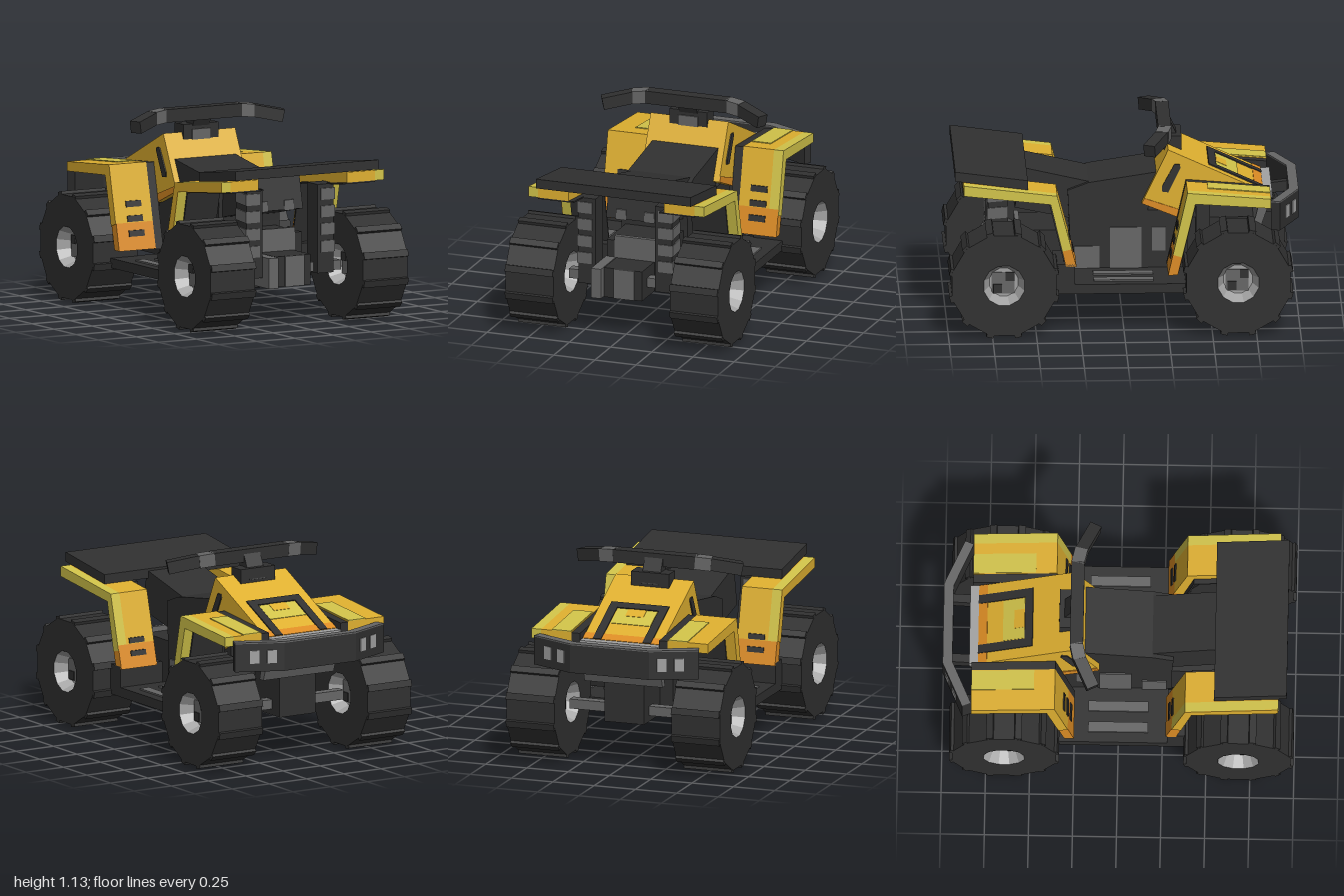
import * as THREE from 'three';

const mat = (name, color) => {
  const m = new THREE.MeshStandardMaterial({ color });
  m.name = name;
  return m;
};

export function createModel() {
  const root = new THREE.Group();
  root.name = 'quadBike';
  const black = mat('black', 0x303030), grey = mat('grey', 0x666666), silver = mat('silver', 0xa2a2a2);
  const yellow = mat('yellow', 0xdfb030), pale = mat('pale yellow', 0xd2c44a), orange = mat('orange', 0xdc8c24);
  silver.side = THREE.DoubleSide;

  // Adds a faceted mesh
  const add = (name, geo, m, parent = root) => {
    const g = geo.index ? geo.toNonIndexed() : geo;
    g.computeVertexNormals();
    const mesh = new THREE.Mesh(g, m);
    mesh.name = name;
    parent.add(mesh);
    return mesh;
  };
  // Box given by its limits
  const box = (name, m, x0, x1, y0, y1, z0, z1, parent) => add(name,
    new THREE.BoxGeometry(x1 - x0, y1 - y0, z1 - z0).translate((x0 + x1) / 2, (y0 + y1) / 2, (z0 + z1) / 2), m, parent);
  const shape = pts => new THREE.Shape(pts.map(p => new THREE.Vector2(...p)));
  // Side outline of [z, y] points, extruded from x0 to x1
  const prism = (name, m, pts, x0, x1, parent) => add(name,
    new THREE.ExtrudeGeometry(shape(pts), { depth: x1 - x0, bevelEnabled: false })
      .rotateY(-Math.PI / 2).translate(x1, 0, 0), m, parent);
  // Plan outline of [x, z] points, extruded from y0 to y1
  const plan = (name, m, pts, y0, y1) => add(name,
    new THREE.ExtrudeGeometry(shape(pts.map(([x, z]) => [x, -z])), { depth: y1 - y0, bevelEnabled: false })
      .rotateX(-Math.PI / 2).translate(0, y0, 0), m);
  // Square bar between two points
  const bar = (name, m, a, b, w, h) => {
    const p = new THREE.Vector3(...a), q = new THREE.Vector3(...b);
    const mesh = add(name, new THREE.BoxGeometry(w, h, p.distanceTo(q)), m);
    mesh.position.copy(p).add(q).multiplyScalar(0.5);
    mesh.lookAt(q);
    return mesh;
  };
  const range = (s, a, b) => (s > 0 ? [a, b] : [-b, -a]);
  const lerp = (a, b, t) => [a[0] + (b[0] - a[0]) * t, a[1] + (b[1] - a[1]) * t];

  // Wheels with tread bars and recessed rims
  const wheel = (side, y, z) => {
    const w = new THREE.Group();
    w.name = 'wheel';
    w.position.set(side * 0.5, y, z);
    const lathe = pts => new THREE.LatheGeometry(pts.map(p => new THREE.Vector2(...p)), 12)
      .rotateY(Math.PI / 12).rotateZ(Math.PI / 2);
    add('tire', lathe([[0.12, -0.146], [0.306, -0.146], [0.306, 0.146], [0.12, 0.146]]), black, w);
    for (const s of [-1, 1]) {
      add('rim', lathe([[0, s * 0.07], [0.085, s * 0.07], [0.12, s * 0.146]]), silver, w);
      box('hubPlate', grey, s * 0.074 - 0.004, s * 0.074 + 0.004, -0.065, 0.06, -0.06, 0.07, w);
      for (const d of [-1, 1])
        box('hubBolt', black, s * 0.08 - 0.004, s * 0.08 + 0.004, d * 0.035 - 0.025, d * 0.035 + 0.025,
          -d * 0.035 - 0.025, -d * 0.035 + 0.025, w);
    }
    for (let i = 0; i < 12; i++) {
      const a = (i + 0.5) * Math.PI / 6;
      add('tread', new THREE.BoxGeometry(0.29, 0.03, 0.04).translate(0, 0.303, 0).rotateX(a), black, w);
    }
    root.add(w);
  };
  for (const s of [-1, 1]) {
    wheel(s, 0.312, 0.685);
    wheel(s, 0.316, -0.645);
  }

  // Fenders: O is the outer line and I the inner line, foot to corner to tip
  const fender = (end, O, I, side) => {
    const g = new THREE.Group();
    g.name = end > 0 ? 'rearFender' : 'frontFender';
    root.add(g);
    const cut = 0.32, oc = lerp(O[0], O[1], cut), ic = lerp(I[0], I[1], cut);
    const rim = end < 0 && side < 0 ? yellow : pale;
    const X = (a, b) => range(side, a, b);
    const upper = [oc, O[1], O[2], I[2], I[1], ic];
    prism('fenderPanel', yellow, upper, ...X(0.29, 0.475), g);
    prism('fenderRim', rim, upper, ...X(0.475, 0.53), g);
    prism('fenderFoot', orange, [O[0], oc, ic, I[0]], ...X(0.29, 0.53), g);
    const off = (p, dz, dy) => [p[0] + end * dz, p[1] + dy];
    prism('fenderLiner', black, [I[0], I[1], I[2], off(I[2], 0, -0.008), off(I[1], 0.008, -0.008), off(I[0], 0.008, 0)],
      ...X(0.26, 0.475), g);
    // Painted edge on the flank of the right side and the foot
    if (side < 0)
      prism('fenderFlank', yellow, upper, -0.534, -0.53, g);
    else
      prism('fenderFlank', pale, [lerp(O[0], O[1], 0.25), O[1], O[2], I[2], I[1], lerp(I[0], I[1], 0.25)], 0.53, 0.533, g);
    for (let i = 0; i < (end > 0 ? 2 : 3); i++) {
      const a = lerp(O[0], O[1], 0.16 + i * 0.17), b = lerp(O[0], O[1], 0.23 + i * 0.17);
      prism('ventSlot', black, [a, b, off(b, -0.006, 0), off(a, -0.006, 0)], ...X(0.355, 0.455), g);
    }
    if (end < 0) {
      prism('innerStrip', black, [O[0], O[1], O[2], I[2], I[1], I[0]].map(p => [p[0], p[1] - 0.004]), ...X(0.24, 0.29), g);
      const a = lerp(O[1], O[2], 0.25), up = p => [p[0], p[1] + 0.005];
      prism('palePatch', pale, [a, O[2], up(O[2]), up(a)], ...X(0.295, 0.41), g);
    }
  };
  for (const s of [-1, 1]) {
    fender(1, [[0.27, 0.385], [0.38, 0.805], [0.91, 0.87]], [[0.33, 0.385], [0.417, 0.755], [0.91, 0.81]], s);
    fender(-1, [[-0.25, 0.33], [-0.36, 0.815], [-0.835, 0.775]], [[-0.305, 0.33], [-0.405, 0.75], [-0.835, 0.72]], s);
  }

  // Chassis, floor and engine
  box('floor', black, -0.53, 0.53, 0.225, 0.28, -0.37, 0.28);
  box('engineBody', black, -0.2, 0.2, 0.28, 0.62, -0.37, 0.3);
  box('rearFrame', black, -0.175, 0.175, 0.225, 0.5, 0.28, 0.6);
  box('frontFrame', black, -0.12, 0.12, 0.25, 0.55, -0.76, -0.37);
  for (const s of [-1, 1]) {
    box('rearFloorBlock', black, ...range(s, 0.25, 0.53), 0.225, 0.4, 0.28, 0.4);
    for (const x of [0.285, 0.41])
      box('footGrip', grey, ...range(s, x, x + 0.06), 0.28, 0.289, -0.17, 0.17);
    const X = range(s, 0.2, 0.208);
    box('enginePanel', grey, ...X, 0.28, 0.52, -0.11, 0.07);
    box('enginePanel', grey, ...X, 0.28, 0.41, 0.13, 0.27);
    box('enginePanel', grey, ...X, 0.38, 0.52, -0.245, -0.17);
    // Rear shocks
    box('shock', black, ...range(s, 0.18, 0.285), 0.28, 0.79, 0.65, 0.765);
    for (let i = 0; i < 4; i++) {
      const y = 0.41 + i * 0.1;
      const pts = [[0.65, y], [0.77, y - 0.01], [0.77, y + 0.055], [0.65, y + 0.065]];
      prism('shockCoil', grey, pts, ...range(s, 0.2, 0.292));
    }
    box('frontStrut', black, ...range(s, 0.12, 0.2), 0.3, 0.7, -0.5, -0.42);
  }
  box('rearAxle', grey, -0.36, 0.36, 0.285, 0.34, 0.66, 0.72);
  box('frontAxle', grey, -0.36, 0.36, 0.285, 0.34, -0.68, -0.62);
  box('gearCase', grey, -0.125, 0.125, 0.4, 0.53, 0.58, 0.607);
  box('hitch', black, -0.115, 0.115, 0.225, 0.4, 0.55, 0.8);
  box('hitchPlate', grey, -0.055, 0.07, 0.225, 0.4, 0.8, 0.808);
  box('exhaust', grey, -0.18, -0.12, 0.225, 0.4, 0.45, 0.84);

  // Seat and rear rack
  prism('rearSeat', black, [[0.61, 0.635], [0.56, 0.87], [0.19, 0.785], [0.25, 0.56]], -0.175, 0.175);
  prism('frontSeat', black, [[0.3, 0.53], [0.31, 0.74], [0.19, 0.785], [-0.2, 0.845], [-0.14, 0.6]], -0.2, 0.2);
  for (const s of [-1, 1])
    box('seatLamp', grey, ...range(s, 0.055, 0.115), 0.63, 0.69, 0.6, 0.611);
  prism('rearRack', black, [[0.957, 0.88], [0.957, 0.935], [0.545, 0.88], [0.545, 0.825]], -0.47, 0.47);

  // Hood with painted top
  prism('hood', yellow, [[-0.11, 0.67], [-0.26, 0.985], [-0.8, 0.735], [-0.8, 0.71], [-0.45, 0.73], [-0.33, 0.58]], -0.236, 0.236);
  const paint = new THREE.Group();
  paint.name = 'hoodPaint';
  paint.position.set(0, 0.985, -0.26);
  paint.rotation.x = -Math.atan2(0.25, 0.54);
  root.add(paint);
  const plate = (name, m, x0, x1, d0, d1, h) => box(name, m, x0, x1, -0.002, h, -d1, -d0, paint);
  plate('noseBand', orange, -0.236, 0.236, 0.54, 0.594, 0.003);
  plate('hoodStripeCross', black, -0.175, 0.175, 0.254, 0.302, 0.007);
  plate('hoodPatch', pale, -0.12, 0.12, 0.305, 0.44, 0.003);
  plate('hoodPatchInset', yellow, -0.055, 0.055, 0.305, 0.37, 0.005);
  for (const s of [-1, 1]) {
    plate('hoodStripe', black, ...range(s, 0.125, 0.175), 0.254, 0.594, 0.007);
    prism('hoodSideBase', orange, [[-0.11, 0.67], [-0.125, 0.7], [-0.36, 0.62], [-0.33, 0.58]], ...range(s, 0.236, 0.241));
    prism('hoodVent', black, [[-0.225, 0.74], [-0.26, 0.735], [-0.33, 0.88], [-0.325, 0.9], [-0.295, 0.9], [-0.225, 0.77]],
      ...range(s, 0.236, 0.243));
  }

  // Nose panel and bumper
  box('noseTrim', silver, -0.236, 0.236, 0.7, 0.735, -0.85, -0.8);
  prism('nosePanel', grey, [[-0.85, 0.71], [-0.79, 0.72], [-0.73, 0.48], [-0.77, 0.48]], -0.236, 0.236);
  for (const s of [-1, 1])
    prism('noseInset', black, [[-0.842, 0.67], [-0.848, 0.67], [-0.788, 0.53], [-0.782, 0.53]], ...range(s, 0.06, 0.17));
  const arc = [[-0.5, -0.885], [-0.24, -1], [0.24, -1], [0.5, -0.885], [0.48, -0.835], [0.23, -0.945], [-0.23, -0.945], [-0.48, -0.835]];
  plan('bumper', black, arc, 0.58, 0.742);
  plan('bumperTop', grey, arc, 0.742, 0.75);
  for (const s of [-1, 1]) {
    bar('bumperArm', black, [s * 0.18, 0.63, -0.79], [s * 0.18, 0.65, -0.96], 0.05, 0.06);
    for (const t of [0.25, 0.6]) {
      const lamp = add('bumperLamp', new THREE.BoxGeometry(0.055, 0.075, 0.009), silver);
      lamp.position.set(s * (0.24 + 0.26 * t), 0.665, -1 + 0.115 * t);
      lamp.rotation.y = -s * Math.atan2(0.115, 0.26);
    }
  }

  // Handlebar and stem
  box('clamp', black, -0.115, 0.115, 0.92, 1.03, -0.34, -0.24);
  box('clampPlate', grey, -0.06, 0.06, 0.94, 1.0, -0.24, -0.232);
  bar('stem', black, [0, 0.95, -0.31], [0, 1.1, -0.24], 0.11, 0.07);
  bar('handlebar', black, [-0.25, 1.092, -0.24], [0.25, 1.092, -0.24], 0.075, 0.075);
  for (const s of [-1, 1]) {
    bar('handlebarElbow', grey, [s * 0.24, 1.093, -0.242], [s * 0.33, 1.085, -0.222], 0.074, 0.074);
    bar('grip', black, [s * 0.32, 1.087, -0.225], [s * 0.485, 1.052, -0.145], 0.07, 0.07);
  }
  return root;
}
